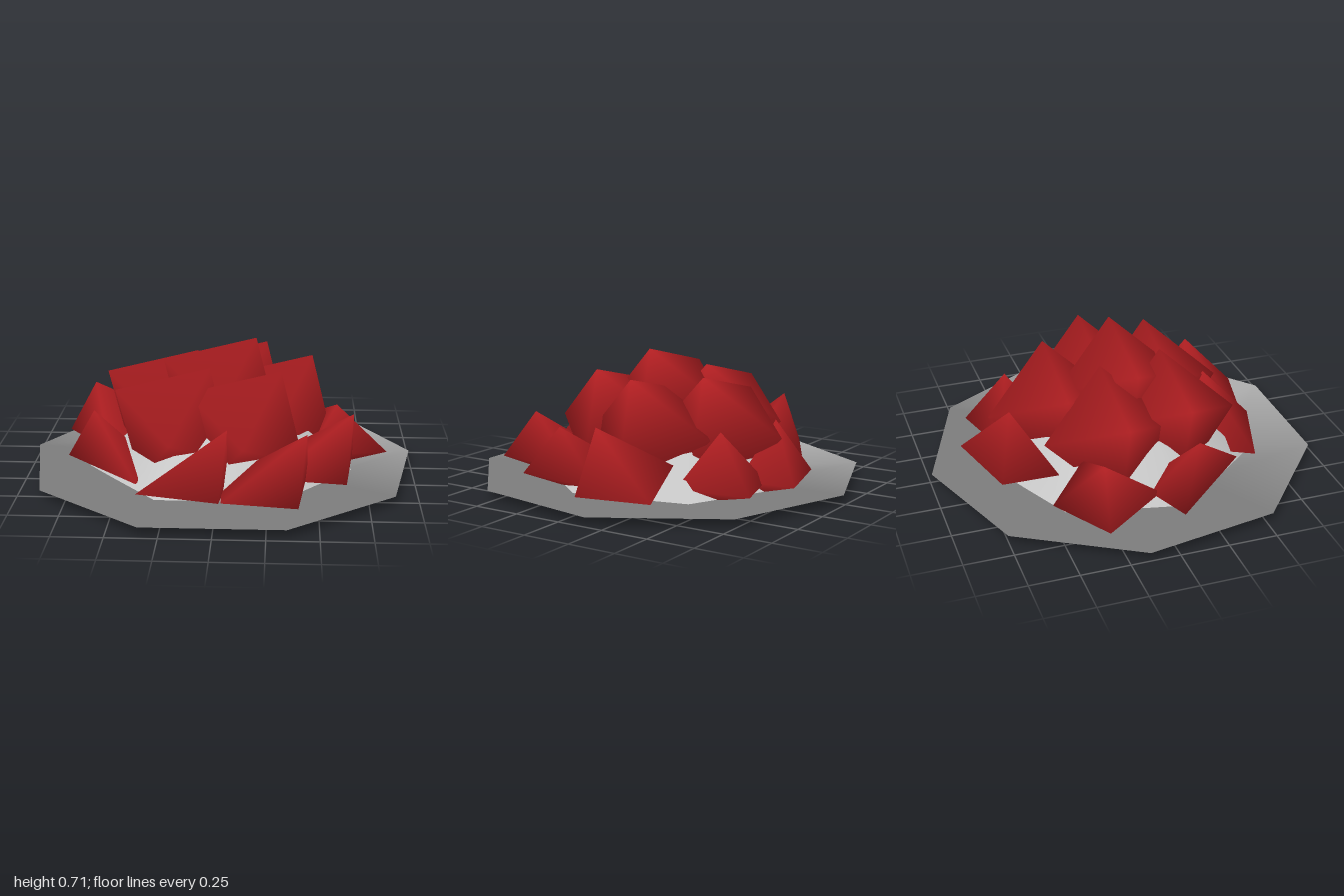
import * as THREE from 'three';
import { mergeVertices } from 'three/addons/utils/BufferGeometryUtils.js';
import { ConvexGeometry } from 'three/addons/geometries/ConvexGeometry.js';

const red = new THREE.MeshStandardMaterial({ color: 0xb01e21 });
red.name = 'red chunk';
const grey = new THREE.MeshStandardMaterial({ color: 0xc6c6c6 });
grey.name = 'pale grey';

// Replaces each normal by a rule taking the vertex position
function setNormals(geometry, rule) {
  const { position, normal } = geometry.attributes;
  const v = new THREE.Vector3();
  for (let i = 0; i < position.count; i++) {
    const n = rule(v.fromBufferAttribute(position, i)).normalize();
    normal.setXYZ(i, n.x, n.y, n.z);
  }
  return geometry;
}

// Slopes the underside: lowest at the front right, highest at the back left
function slopeBase(geometry) {
  const { position } = geometry.attributes;
  for (let i = 0; i < position.count; i++) {
    const x = position.getX(i), z = position.getZ(i);
    if (position.getY(i) < 0.01) position.setY(i, 0.012 + 0.012 * (x - z) / 0.88);
  }
  return geometry;
}

// One smooth-shaded solid around a handful of points
function smoothHull(points) {
  const hull = new ConvexGeometry(points);
  hull.deleteAttribute('normal');
  const smooth = mergeVertices(hull);
  smooth.computeVertexNormals();
  return smooth;
}

export function createModel() {
  const model = new THREE.Group();
  const add = (name, geometry, material, parent = model) => {
    const mesh = new THREE.Mesh(geometry, material);
    mesh.name = name;
    parent.add(mesh);
    return mesh;
  };
  const lathe = (points, sides) =>
    new THREE.LatheGeometry(points.map(([r, y]) => new THREE.Vector2(r, y)), sides, Math.PI);

  // Thin nine-sided plate, softly shaded around its rim
  const plate = new THREE.Group();
  plate.name = 'plate';
  plate.position.z = 0.0255;
  model.add(plate);
  const rim = slopeBase(lathe([[0.62, 0], [1.0155, 0.036], [0.55, 0.032]], 9));
  add('plateRim', setNormals(rim, (v) => v.setY(0)), grey, plate);
  const base = slopeBase(lathe([[0, 0], [0.62, 0]], 9));
  add('plateBase', setNormals(base, (v) => v.set(0, 1, 0)), grey, plate);

  // Mound of pale filling under the chunks
  add('mound', lathe([[0.7, 0.03], [0.47, 0.22], [0.25, 0.34], [0, 0.36]], 7), grey);

  // Upper chunks: low-poly balls with square waists, all leaning the same way
  const ball = new THREE.SphereGeometry(0.35, 4, 2);
  ball.rotateY(Math.PI / 4).rotateX(Math.PI / 2).rotateZ(THREE.MathUtils.degToRad(14));
  const upper = new THREE.Group();
  upper.name = 'upperChunks';
  model.add(upper);
  [
    [0, 0.4, 0.03],
    [0.13, 0.29, 0.27], [-0.23, 0.29, 0.23], [-0.31, 0.29, -0.12],
    [0.05, 0.29, -0.32], [0.29, 0.29, -0.05],
  ].forEach((p, i) => add(i ? 'middleChunk' : 'topChunk', ball, red, upper).position.set(...p));

  // Lower chunks: outer edge A-B, peak P, side corner X and inner corner I as [x, z], height of I
  const lower = new THREE.Group();
  lower.name = 'lowerChunks';
  model.add(lower);
  [
    [[0.4, 0.83], [0.03, 0.75], [0.44, 0.57], [0.45, 0.32], [0.02, 0.38], 0.06],
    [[0.02, 0.78], [-0.39, 0.65], [0.05, 0.52], [0.06, 0.28], [-0.2, 0.32], 0.06],
    [[-0.4, 0.54], [-0.8, 0.1], [-0.64, 0.23], [-0.58, 0], [-0.4, 0.05], 0.06],
    [[-0.85, -0.3], [-0.52, -0.49], [-0.7, -0.28], [-0.59, 0.05], [-0.4, -0.3], 0.22],
    [[0.16, -0.8], [-0.26, -0.68], [-0.05, -0.58], [0.18, -0.5], [-0.4, -0.42], 0.16],
    [[0.44, -0.71], [0.08, -0.6], [0.36, -0.5], [0.48, -0.32], [0.1, -0.35], 0.2],
    [[0.87, 0], [0.76, -0.36], [0.6, 0.07], [0.45, 0.08], [0.5, -0.32], 0.2],
    [[0.64, 0.5], [0.27, 0.42], [0.68, 0.23], [0.69, 0], [0.14, 0.21], 0.06],
  ].forEach(([a, b, p, x, inner, innerY]) => {
    const v = ([px, pz], y) => new THREE.Vector3(px, y, pz);
    const foot = [(a[0] + x[0]) * 0.4, (a[1] + x[1]) * 0.4];
    add('lowerChunk', smoothHull(
      [v(a, 0.08), v(b, 0.07), v(p, 0.36), v(x, 0.08), v(inner, innerY), v(foot, 0.005)]), red, lower);
  });

  return model;
}
